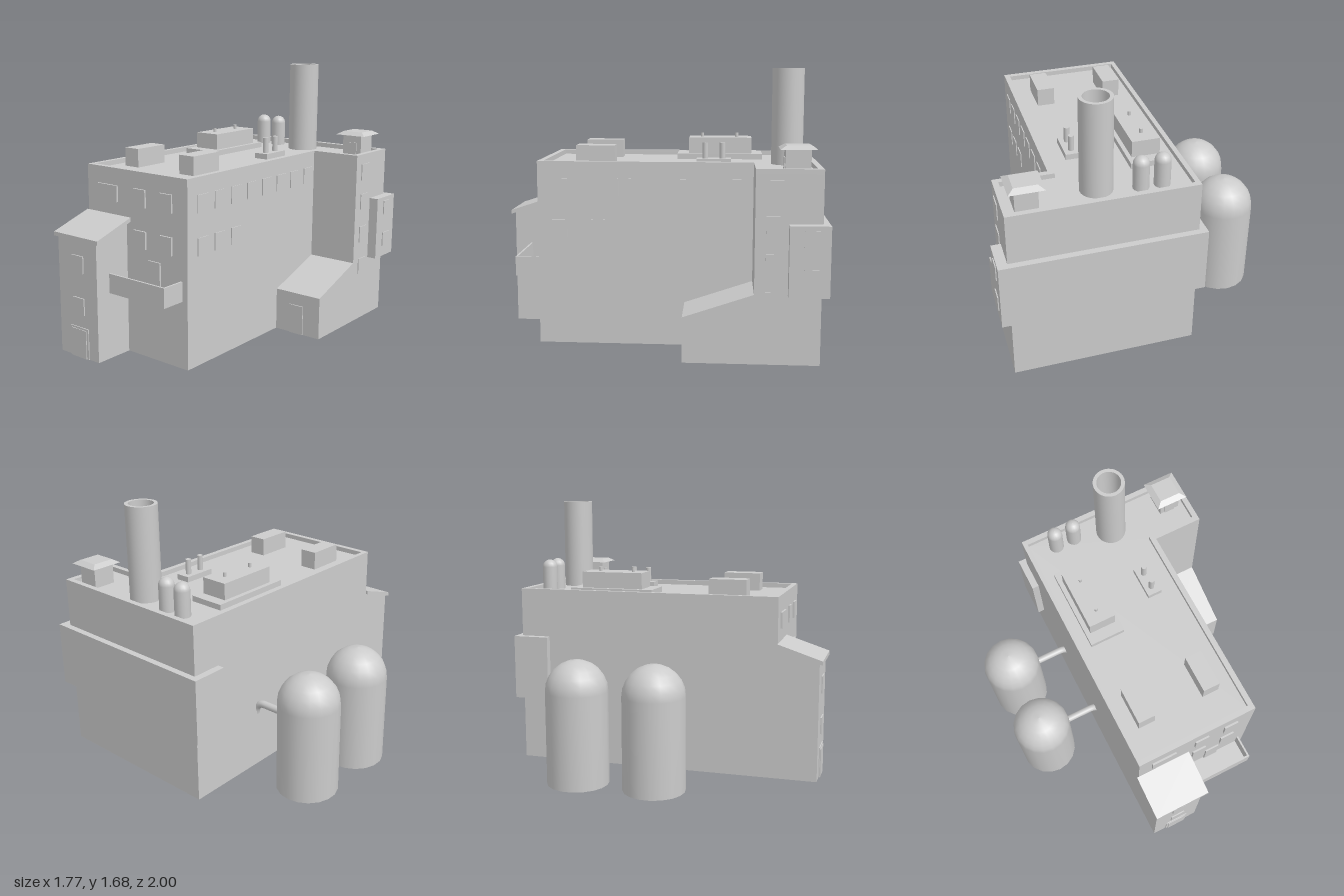
import * as THREE from 'three';

const flat = new THREE.MeshStandardMaterial({ color: 0xcccccc, flatShading: true, side: THREE.DoubleSide });
const smooth = new THREE.MeshStandardMaterial({ color: 0xcccccc, side: THREE.DoubleSide });

export function createModel() {
  const model = new THREE.Group();

  const add = (name, geometry, material = flat) => {
    const mesh = new THREE.Mesh(geometry, material);
    mesh.name = name;
    model.add(mesh);
    return mesh;
  };
  // Box given by its extents on each axis
  const box = (name, x0, x1, y0, y1, z0, z1) =>
    add(name, new THREE.BoxGeometry(x1 - x0, y1 - y0, z1 - z0)
      .translate((x0 + x1) / 2, (y0 + y1) / 2, (z0 + z1) / 2));
  const cylinder = (name, r, x, z, y0, y1, sides = 12) =>
    add(name, new THREE.CylinderGeometry(r, r, y1 - y0, sides).translate(x, (y0 + y1) / 2, z), smooth);
  const quads = list => {
    const p = [];
    for (const [a, b, c, d] of list) p.push(...a, ...b, ...c, ...a, ...c, ...d);
    const g = new THREE.BufferGeometry();
    g.setAttribute('position', new THREE.Float32BufferAttribute(p, 3));
    g.computeVertexNormals();
    return g;
  };
  // Upright walls along a plan line of [x, z, topHeight]
  const walls = (name, pts) => add(name, quads(pts.slice(1).map((b, i) => {
    const a = pts[i];
    return [[a[0], 0, a[1]], [b[0], 0, b[1]], [b[0], b[2], b[1]], [a[0], a[2], a[1]]];
  })));
  // Plan outline in x, z raised from y0 to y1
  const plan = pts => pts.map(([x, z]) => new THREE.Vector2(x, -z));
  const slab = (name, pts, y0, y1, hole) => {
    const shape = new THREE.Shape(plan(pts));
    if (hole) shape.holes.push(new THREE.Path(plan(hole)));
    const g = new THREE.ExtrudeGeometry(shape, { depth: y1 - y0, bevelEnabled: false });
    return add(name, g.rotateX(-Math.PI / 2).translate(0, y0, 0));
  };

  // L-shaped main building, open underneath, with roof and parapet
  const roofY = 1.1, topY = 1.13;
  const outer = [[-0.305, 0.725], [0.495, 0.725], [0.495, -0.58], [0.82, -0.58], [0.82, -0.96], [-0.305, -0.96]];
  const inner = [[-0.275, 0.69], [0.46, 0.69], [0.46, -0.615], [0.785, -0.615], [0.785, -0.925], [-0.275, -0.925]];
  walls('mainWalls', [...outer, outer[0]].map(([x, z]) => [x, z, roofY]));
  slab('parapet', outer, roofY, topY, inner);
  add('mainRoof', new THREE.ShapeGeometry(new THREE.Shape(plan(inner)))
    .rotateX(-Math.PI / 2).translate(0, roofY, 0));

  // Raised band wrapped round the back
  slab('rearBand', [[-0.35, -0.77], [-0.305, -0.77], [-0.305, -0.96], [0.82, -0.96],
    [0.82, -0.77], [0.88, -0.77], [0.88, -1], [-0.35, -1]], 0.41, 0.82);

  // Stair tower with sloped roof
  walls('towerWalls', [[-0.305, 0.725, 0.83], [-0.305, 0.98, 0.74], [0.02, 0.98, 0.74], [0.02, 0.725, 0.83]]);
  const towerRoof = new THREE.Shape([[0.725, 0.82], [1, 0.73], [1, 0.755], [0.725, 0.845]]
    .map(([z, y]) => new THREE.Vector2(-z, y)));
  add('towerRoof', new THREE.ExtrudeGeometry(towerRoof, { depth: 0.37, bevelEnabled: false })
    .rotateY(Math.PI / 2).translate(-0.318, 0, 0));
  box('towerDoorFrame', -0.215, -0.06, 0, 0.19, 0.975, 0.986);
  box('towerDoor', -0.2, -0.075, 0, 0.178, 0.975, 0.991);
  for (const y of [0.27, 0.53]) box('towerWindow', -0.185, -0.09, y, y + 0.105, 0.975, 0.988);

  // Lean-to in the corner
  walls('leanToWalls', [[0.495, -0.17, 0.27], [0.82, -0.17, 0.27], [0.82, -0.58, 0.41]]);
  add('leanToRoof', quads([[[0.495, 0.27, -0.17], [0.82, 0.27, -0.17], [0.82, 0.41, -0.58], [0.495, 0.41, -0.58]]]));
  box('leanToDoor', 0.6, 0.7, 0, 0.19, -0.175, -0.163);

  // Front balcony and its door
  box('balconyFloor', 0.02, 0.455, 0.41, 0.425, 0.725, 0.88);
  box('balconyFront', 0.02, 0.455, 0.425, 0.53, 0.868, 0.88);
  box('balconySide', 0.443, 0.455, 0.425, 0.53, 0.725, 0.868);
  box('balconyDoor', 0.195, 0.29, 0.425, 0.61, 0.72, 0.735);

  // Front windows
  box('wideWindow', -0.215, -0.05, 0.925, 1.025, 0.72, 0.737);
  for (const x of [0.085, 0.29])
    for (const y of [0.67, 0.92]) box('frontWindow', x, x + 0.093, y, y + 0.108, 0.72, 0.737);

  // Side windows: long upper row, short lower row, wing column and band end
  const sideWindow = (x, y, z, w = 0.095, h = 0.105) =>
    box('sideWindow', x - 0.005, x + 0.006, y, y + h, z - w / 2, z + w / 2);
  for (let i = 0; i < 8; i++) {
    sideWindow(0.495, 0.922, 0.59 - i * 0.156);
    if (i < 3) sideWindow(0.495, 0.67, 0.59 - i * 0.156);
  }
  for (const y of [0.32, 0.54, 0.76, 0.96]) sideWindow(0.82, y, -0.69);
  for (const y of [0.48, 0.7]) sideWindow(0.88, y, -0.895, 0.085, 0.095);

  // Hollow chimney
  add('chimney', new THREE.LatheGeometry([[0.097, roofY], [0.097, 1.685], [0.097, 1.685], [0.075, 1.685], [0.075, 1.685], [0.075, roofY]]
    .map(([r, y]) => new THREE.Vector2(r, y)), 32).translate(0.265, 0, -0.79), smooth);

  // Domed tanks: two small on the roof, two large beside the building
  const tank = (name, r, x, z, y0, y1, sides) => {
    const profile = [new THREE.Vector2(0, y0), new THREE.Vector2(r, y0), new THREE.Vector2(r, y0)];
    for (let i = 0; i <= 6; i++) {
      const a = i / 6 * Math.PI / 2;
      profile.push(new THREE.Vector2(r * Math.cos(a), y1 - r + r * Math.sin(a)));
    }
    add(name, new THREE.LatheGeometry(profile, sides).translate(x, 0, z), smooth);
  };
  for (const x of [-0.107, 0.02]) tank('roofTank', 0.048, x, -0.845, roofY, 1.305, 16);
  for (const z of [-0.42, 0.065]) {
    tank('storageTank', 0.19, -0.7, z, 0, 0.762, 18);
    // Feed pipe bending down just inside the wall
    const path = new THREE.CurvePath();
    const v = (x, y) => new THREE.Vector3(x, y, z);
    path.add(new THREE.LineCurve3(v(-0.53, 0.437), v(-0.36, 0.437)));
    path.add(new THREE.QuadraticBezierCurve3(v(-0.36, 0.437), v(-0.295, 0.437), v(-0.285, 0.36)));
    add('feedPipe', new THREE.TubeGeometry(path, 24, 0.023, 12), smooth);
  }

  // Roof plant with vents
  box('plantBase', -0.217, 0.013, roofY, 1.135, -0.65, -0.1);
  box('plantBox', -0.187, -0.013, 1.135, 1.238, -0.58, -0.175);
  for (const z of [-0.485, -0.26]) cylinder('plantVent', 0.011, -0.1, z, 1.238, 1.265);
  for (const x of [-0.197, 0.247]) box('roofUnit', x, x + 0.11, roofY, 1.215, 0.268, 0.508);
  box('ventPad', 0.258, 0.352, roofY, 1.135, -0.445, -0.235);
  for (const z of [-0.393, -0.287]) cylinder('ventPipe', 0.018, 0.305, z, 1.135, 1.232);

  // Roof hut with flared cap
  box('hutBody', 0.615, 0.75, roofY, 1.235, -0.892, -0.748);
  box('hutDoor', 0.645, 0.717, roofY, 1.185, -0.755, -0.742);
  add('hutRoof', new THREE.CylinderGeometry(0.068 * Math.SQRT2, 0.104 * Math.SQRT2, 0.022, 4)
    .rotateY(Math.PI / 4).translate(0.683, 1.245, -0.82));

  return model;
}
